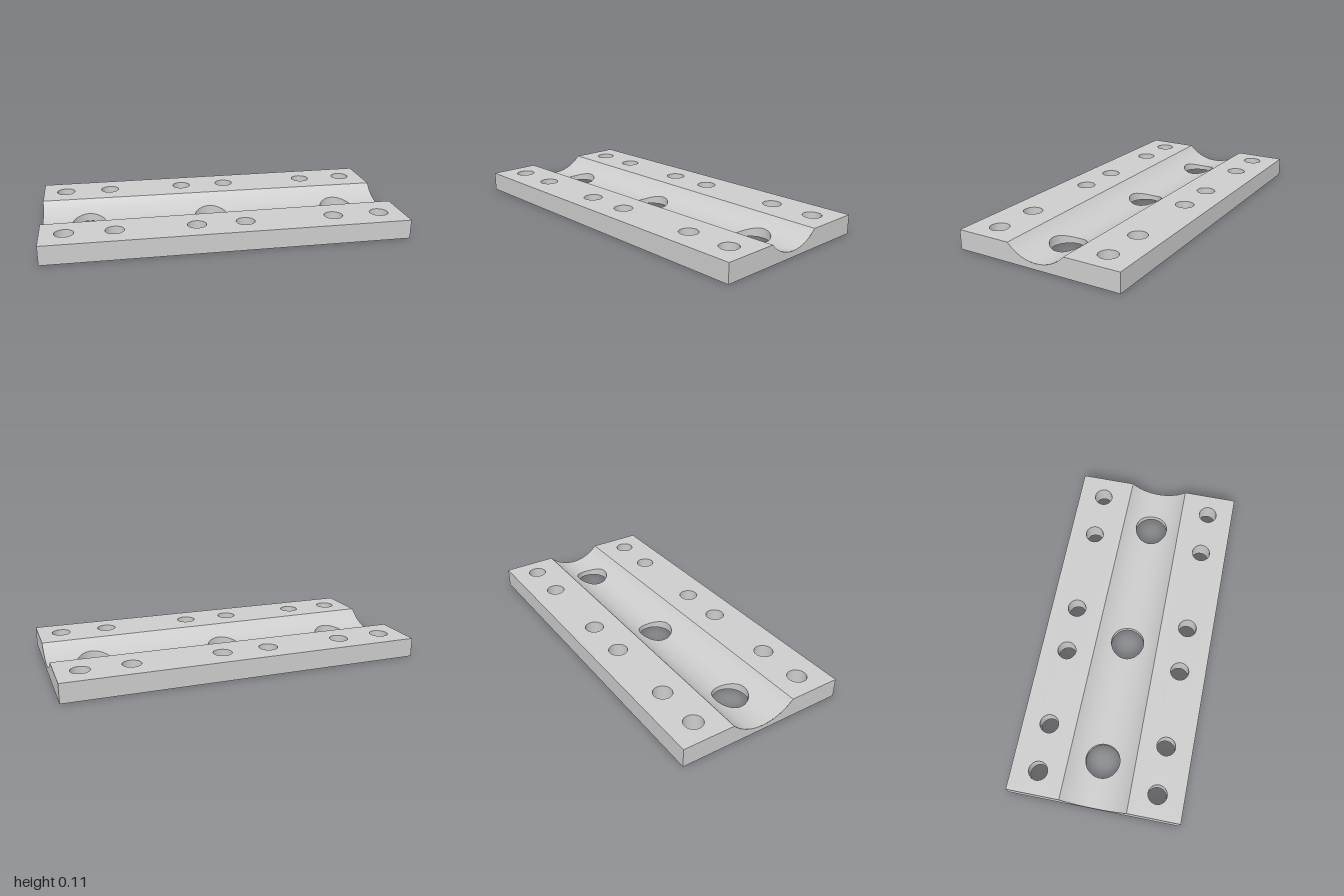
import * as THREE from 'three';
import { toCreasedNormals } from 'three/addons/utils/BufferGeometryUtils.js';

const H = 0.107, DEPTH = 0.478; // plate height and half depth
const BOLT_X = [-0.87, -0.605, -0.165, 0.103, 0.603, 0.87], BOLT_Z = 0.33, BOLT_R = 0.052;
const BORE_X = [-0.738, -0.03, 0.738], BORE_R = 0.095;
const CELLS = [-1, -0.385, 0.355, 1]; // one stretch of channel per bore

// Tapered channel: half width and circular section at x
const halfWidth = (x) => 0.176 - 0.009 * x;
function section(x) {
  const w = halfWidth(x), base = 0.0295 + 0.0035 * x, d = H - base;
  const r = (w * w + d * d) / (2 * d);
  return { r, centre: base + r };
}
function channelY(x, z) {
  const { r, centre } = section(x);
  return centre - Math.sqrt(r * r - z * z);
}

function polygon(points) {
  return new THREE.Shape(points.map(([x, y]) => new THREE.Vector2(x, y)));
}
function addHole(shape, x, y, r) {
  shape.holes.push(new THREE.Path().absarc(x, y, r, 0, Math.PI * 2, true));
}

// Surface through rows of [x, y, z] points, with exact normals
function skin(rows, normalAt) {
  const n = rows[0].length, index = [];
  for (let i = 0; i < rows.length - 1; i++) {
    for (let j = 0; j < n - 1; j++) {
      const a = i * n + j, b = a + n;
      index.push(a, b, b + 1, a, b + 1, a + 1);
    }
  }
  const points = rows.flat();
  const geo = new THREE.BufferGeometry();
  geo.setAttribute('position', new THREE.Float32BufferAttribute(points.flat(), 3));
  geo.setAttribute('normal', new THREE.Float32BufferAttribute(points.flatMap(normalAt), 3));
  geo.setIndex(index);
  return geo;
}

export function createModel() {
  const group = new THREE.Group();
  const metal = new THREE.MeshStandardMaterial({ color: 0xcccccc });
  metal.name = 'plain grey metal';
  const add = (name, geo) => {
    const mesh = new THREE.Mesh(geo, metal);
    mesh.name = name;
    group.add(mesh);
    return mesh;
  };

  // Flat rails with bolt holes on both sides of the channel, outlined anticlockwise
  for (const s of [1, -1]) {
    const shape = polygon([
      [-s, s * halfWidth(-s)], [s, s * halfWidth(s)], [s, s * DEPTH], [-s, s * DEPTH],
    ]);
    for (const x of BOLT_X) addHole(shape, x, s * BOLT_Z, BOLT_R);
    const geo = new THREE.ExtrudeGeometry(shape, { depth: H, bevelEnabled: false, curveSegments: 40 });
    geo.rotateX(-Math.PI / 2);
    add(s > 0 ? 'backRail' : 'frontRail', toCreasedNormals(geo, 0.6));
  }

  // Channel floor, fanned out from each bore to the rim of its stretch
  BORE_X.forEach((cx, k) => {
    const x0 = CELLS[k], x1 = CELLS[k + 1];
    const corners = [
      [x1, halfWidth(x1)], [x1, -halfWidth(x1)], [x0, -halfWidth(x0)], [x0, halfWidth(x0)],
    ];
    const outline = [];
    corners.forEach((a, i) => {
      const b = corners[(i + 1) % 4];
      for (let j = 0; j < 16; j++) {
        outline.push([a[0] + (b[0] - a[0]) * j / 16, a[1] + (b[1] - a[1]) * j / 16]);
      }
    });
    outline.push(outline[0]);
    const circle = outline.map(([x, z]) => {
      const t = Math.atan2(z, x - cx);
      return [cx + BORE_R * Math.cos(t), BORE_R * Math.sin(t)];
    });
    const rows = [];
    for (let i = 0; i <= 12; i++) {
      rows.push(outline.map(([ox, oz], j) => {
        const [ix, iz] = circle[j];
        const x = ix + (ox - ix) * i / 12, z = iz + (oz - iz) * i / 12;
        return [x, channelY(x, z), z];
      }));
    }
    add('channelFloor', skin(rows, ([x, y, z]) => {
      const { r, centre } = section(x);
      return [0, (centre - y) / r, -z / r];
    }));

    // Bore wall
    const wall = [circle.map(([x, z]) => [x, 0, z]), rows[0]];
    add('boreWall', skin(wall, ([x, , z]) => [(cx - x) / BORE_R, 0, -z / BORE_R]));
  });

  // Underside of the channel
  const under = polygon([
    [-1, -halfWidth(-1)], [1, -halfWidth(1)], [1, halfWidth(1)], [-1, halfWidth(-1)],
  ]);
  for (const x of BORE_X) addHole(under, x, 0, BORE_R);
  add('underside', new THREE.ShapeGeometry(under, 40).rotateX(Math.PI / 2));

  // End faces below the channel
  for (const s of [-1, 1]) {
    const w = halfWidth(s), points = [[-w, 0], [w, 0]];
    for (let i = 0; i <= 32; i++) {
      const z = w - 2 * w * i / 32;
      points.push([z, channelY(s, z)]);
    }
    const end = add('channelEnd', new THREE.ShapeGeometry(polygon(points)).rotateY(s * Math.PI / 2));
    end.position.x = s;
  }
  return group;
}
